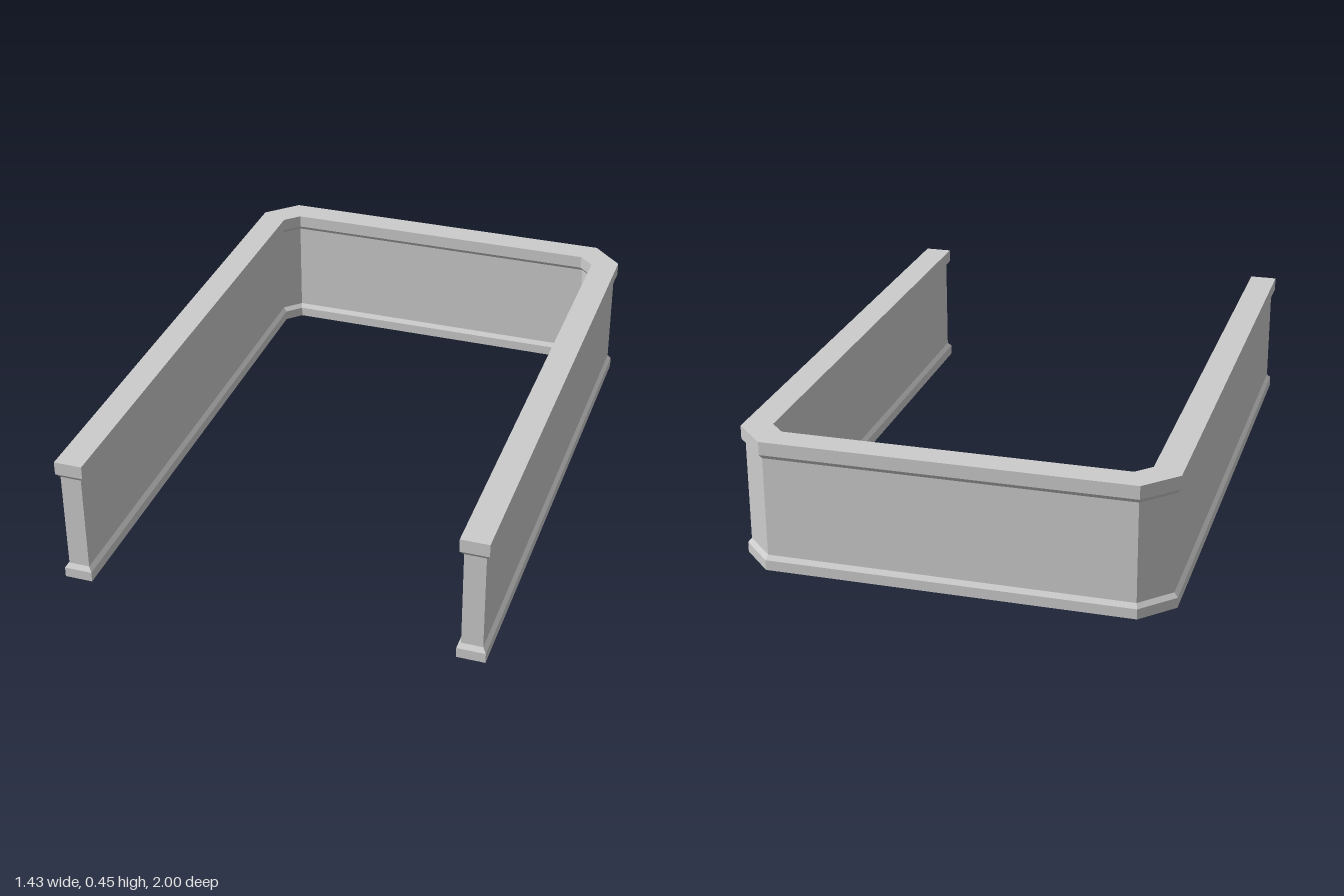
import * as THREE from 'three';

// U-shaped plan with chamfered back corners, inset by d on every side
function plan(d) {
  const k = d * Math.tan(Math.PI / 8);
  const half = [
    [0.715 - d, 1 - d], [0.715 - d, -0.895 + k], [0.61 - k, -1 + d],
  ];
  const inner = [
    [0.57 + k, -0.905 - d], [0.62 + d, -0.855 - k], [0.62 + d, 1 - d],
  ];
  const mirror = (pts) => pts.map(([x, z]) => [-x, z]).reverse();
  return [...half, ...mirror(half), ...mirror(inner), ...inner];
}

// Join [inset, height] rings into walls, optionally closing the ends
function loft(rings, closeStart, closeEnd) {
  const pos = [];
  const loops = rings.map(([d, y]) => plan(d).map(([x, z]) => [x, y, z]));
  for (let r = 0; r + 1 < loops.length; r++) {
    const a = loops[r], b = loops[r + 1];
    for (let i = 0; i < a.length; i++) {
      const j = (i + 1) % a.length;
      pos.push(...a[i], ...a[j], ...b[j], ...a[i], ...b[j], ...b[i]);
    }
  }
  const close = (loop, flip) => {
    const outline = loop.map((p) => new THREE.Vector2(p[0], -p[2]));
    for (const [a, b, c] of THREE.ShapeUtils.triangulateShape(outline, [])) {
      const tri = flip ? [a, c, b] : [a, b, c];
      tri.forEach((i) => pos.push(...loop[i]));
    }
  };
  if (closeStart) close(loops[0], true);
  if (closeEnd) close(loops[loops.length - 1], false);
  const geo = new THREE.BufferGeometry();
  geo.setAttribute('position', new THREE.Float32BufferAttribute(pos, 3));
  geo.computeVertexNormals();
  return geo;
}

export function createModel() {
  const group = new THREE.Group();
  group.name = 'lowWall';
  const grey = new THREE.MeshStandardMaterial({ color: 0xcccccc, flatShading: true });
  grey.name = 'light grey';
  const add = (name, rings, start, end) => {
    const mesh = new THREE.Mesh(loft(rings, start, end), grey);
    mesh.name = name;
    group.add(mesh);
  };

  // Skirting with a recessed channel underneath
  add('baseTrim', [[0.025, 0.025], [0.025, 0], [0, 0], [0, 0.035], [0.012, 0.05]], true, false);
  // Plain wall panels
  add('wallPanels', [[0.012, 0.05], [0.012, 0.39]], false, false);
  // Overhanging top rail
  add('topRail', [[0.012, 0.39], [0, 0.405], [0, 0.45]], false, true);
  return group;
}
